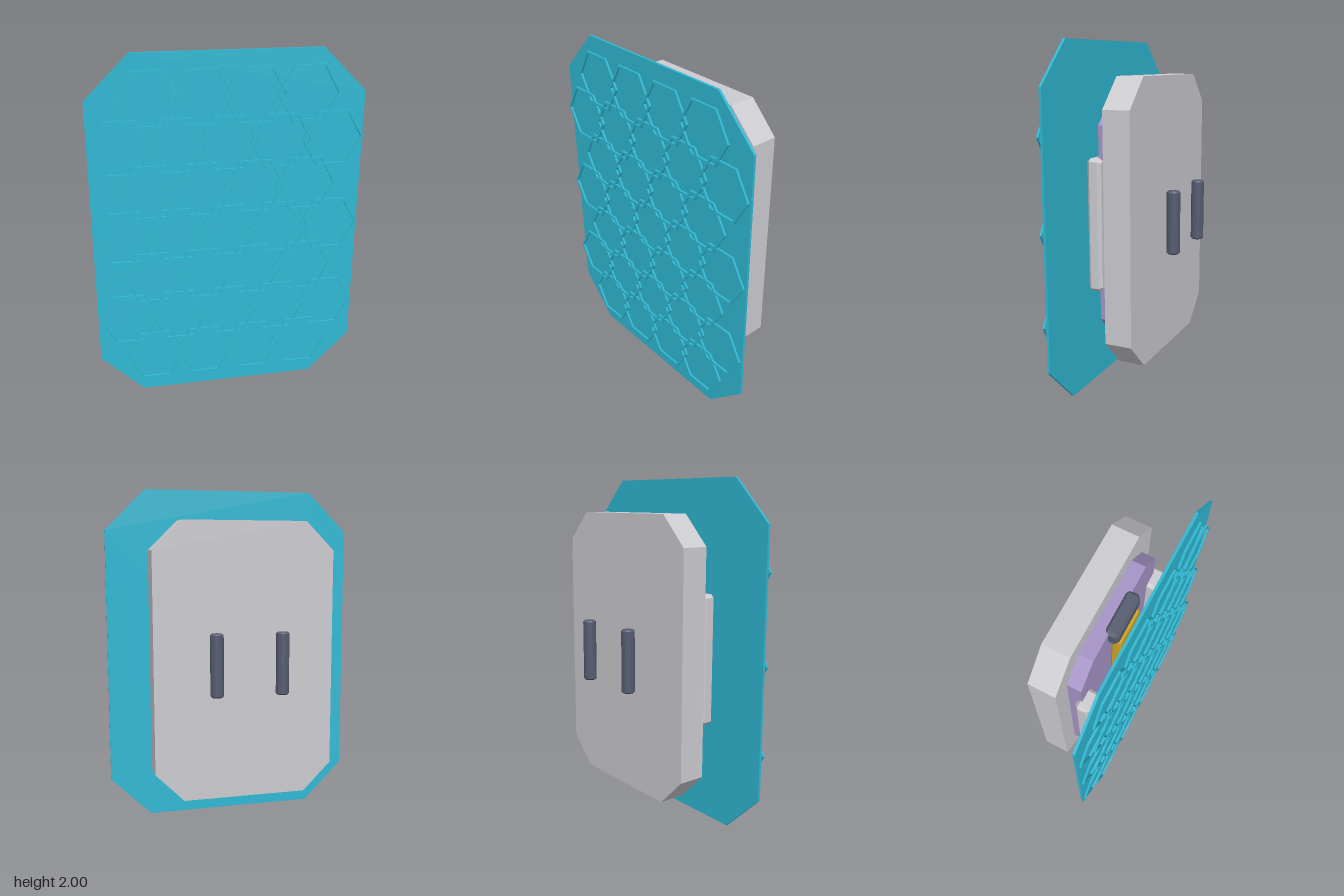
import * as THREE from 'three';

const flat = (name, color) => {
  const m = new THREE.MeshStandardMaterial({ color });
  m.name = name;
  return m;
};

// rectangle with cut corners
function cutRect(w, h, cx, cy) {
  const x = w / 2, y = h / 2;
  return new THREE.Shape([
    [x - cx, -y], [x, -y + cy], [x, y - cy], [x - cx, y],
    [-x + cx, y], [-x, y - cy], [-x, -y + cy], [-x + cx, -y],
  ].map(([a, b]) => new THREE.Vector2(a, b)));
}

// slab between z0 and z1, with an optional chamfer around both faces
function slab(shape, z0, z1, bevel = 0) {
  const g = new THREE.ExtrudeGeometry(shape, {
    depth: z1 - z0 - 2 * bevel, bevelEnabled: bevel > 0, bevelSize: bevel,
    bevelThickness: bevel, bevelOffset: -bevel, bevelSegments: 1,
  });
  return g.translate(0, 0, z0 + bevel);
}

const hexPoints = (r) => Array.from({ length: 6 }, (_, i) =>
  new THREE.Vector2(r * Math.cos(i * Math.PI / 3), r * Math.sin(i * Math.PI / 3)));

export function createModel() {
  const grey = flat('light grey', 0xcbcbd0);
  const purple = flat('purple', 0xa593c6);
  const dark = flat('slate', 0x565c70);
  const gold = flat('gold', 0xd0a428);
  const teal = flat('teal', 0x2fb8d3);

  const root = new THREE.Group();
  root.name = 'shield';
  const add = (name, geometry, material, x = 0, y = 0, z = 0) => {
    const m = new THREE.Mesh(geometry, material);
    m.name = name;
    m.position.set(x, y, z);
    root.add(m);
  };

  // layered body
  add('backPlate', slab(cutRect(1.065, 1.61, 0.167, 0.167), -0.136, 0.02), grey, 0, 1.003);
  add('innerPlate', slab(cutRect(0.85, 1.36, 0.135, 0.135), 0.02, 0.103), purple, 0, 1.004);

  // bevelled fittings between body and energy panel
  const fitting = (w, h, z0, z1, b) => slab(cutRect(w, h, b, b), z0, z1, b);
  add('topEmitter', fitting(0.27, 0.117, 0.073, 0.156, 0.018), dark, 0, 1.638);
  add('spine', fitting(0.22, 1.106, 0.108, 0.166, 0.01), gold, 0, 1.027);
  add('powerCell', fitting(0.23, 0.176, 0.143, 0.188, 0.01), teal, 0, 0.517);

  // side rails and rear grips
  const grip = new THREE.LatheGeometry([
    [0, -0.18], [0.03, -0.18], [0.038, -0.172], [0.038, 0.172], [0.03, 0.18], [0, 0.18],
  ].map(([r, y]) => new THREE.Vector2(r, y)), 14).toNonIndexed();
  grip.computeVertexNormals();
  const rail = fitting(0.13, 0.743, 0.075, 0.158, 0.018);
  for (const [side, s] of [['left', 1], ['right', -1]]) {
    add(side + 'Rail', rail, grey, s * 0.402, 1.003);
    add(side + 'Grip', grip, dark, s * 0.192, 1.003, -0.239);
  }

  // energy panel
  add('energyPanel', slab(cutRect(1.512, 2, 0.243, 0.24), 0.24, 0.254), teal, 0, 1);

  // staggered lattice of hexagonal rings
  const ring = new THREE.Shape(hexPoints(0.176));
  ring.holes.push(new THREE.Path(hexPoints(0.161).reverse()));
  const ringGeometry = slab(ring, 0.266, 0.278);
  for (let row = 0; row < 7; row++) {
    const count = row % 2 ? 5 : 4;
    for (let i = 0; i < count; i++) {
      add('hexRing', ringGeometry, teal, (i - (count - 1) / 2) * 0.29, 1 + (row - 3) * 0.254);
    }
  }
  return root;
}
